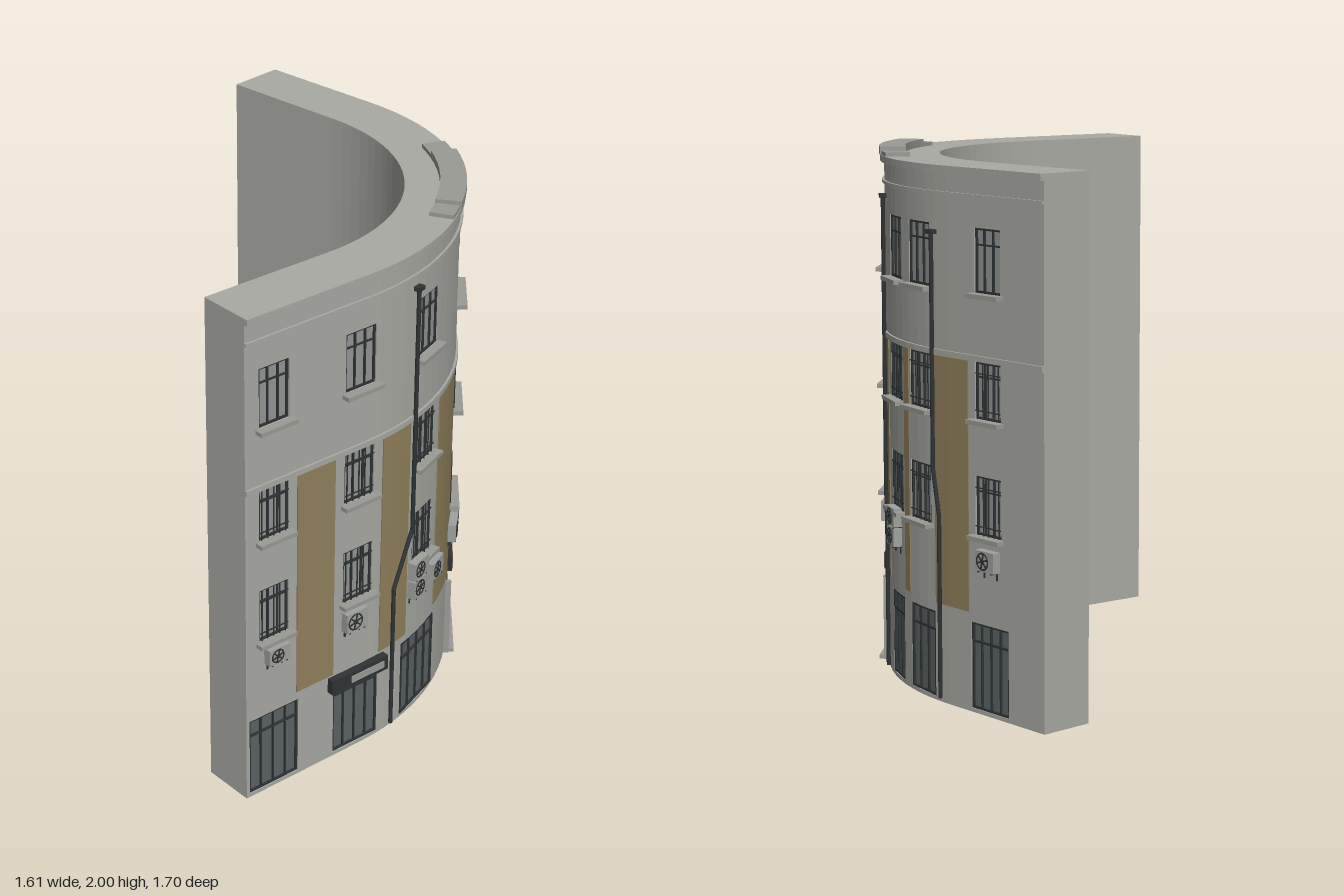
import * as THREE from 'three';

const mat = (name, color) => {
  const m = new THREE.MeshStandardMaterial({ color });
  m.name = name;
  return m;
};
const M = {
  wall: mat('grey render', 0xa9aaa3),
  trim: mat('pale trim', 0x9a9b95),
  ochre: mat('ochre panel', 0x91805c),
  frame: mat('dark frame', 0x303434),
  shopGlass: mat('shop glass', 0x5c6365),
  glass: mat('window glass', 0x929694),
  unit: mat('air unit grey', 0xa0a29d),
  sign: mat('brown sign', 0x8a745a),
};

// Plan of the facade: straight, arc, straight. u is the length along it, 0 where the arc starts.
const R = 1.02, CX = -0.25, CZ = -0.215, TURN = 1.6895, L = R * TURN;
const U0 = -0.55, U1 = L + 0.52, STEP = L / 26;
const zEnd = CZ + R * Math.cos(TURN);
const angle = u => THREE.MathUtils.clamp(u / R, 0, TURN);
function at(u, off = 0, y = 0) {
  const a = angle(u), extra = u - a * R, r = R + off;
  return new THREE.Vector3(
    CX + r * Math.sin(a) + extra * Math.cos(a), y,
    CZ + r * Math.cos(a) - extra * Math.sin(a));
}
const ux = x => (x < CX ? x - CX : R * Math.asin((x - CX) / R));
const uz = z => (z > zEnd ? R * Math.acos((z - CZ) / R) : L + (zEnd - z) / 0.993);

export function createModel() {
  const root = new THREE.Group();
  root.name = 'curvedBuilding';

  const add = (parent, name, geo, material, x = 0, y = 0, z = 0) => {
    const m = new THREE.Mesh(geo, material);
    m.name = name;
    m.position.set(x, y, z);
    parent.add(m);
    return m;
  };
  const box = (parent, name, material, w, h, d, x, y, z) =>
    add(parent, name, new THREE.BoxGeometry(w, h, d), material, x, y, z);

  // Group on the facade, its local z pointing outwards
  const station = (name, u, y) => {
    const g = new THREE.Group();
    g.name = name;
    g.position.copy(at(u, 0, y));
    g.rotation.y = angle(u);
    root.add(g);
    return g;
  };

  // Solid following the plan between two offsets and two heights
  function band(name, material, u0, u1, inner, outer, y0, y1) {
    const us = [u0];
    for (let i = 0; i <= 26; i++) {
      const u = i * STEP;
      if (u > u0 + 1e-4 && u < u1 - 1e-4) us.push(u);
    }
    us.push(u1);
    const pts = [...us.map(u => at(u, outer)), ...us.reverse().map(u => at(u, inner))];
    const shape = new THREE.Shape(pts.map(p => new THREE.Vector2(p.x, -p.z)));
    const geo = new THREE.ExtrudeGeometry(shape, { depth: y1 - y0, bevelEnabled: false });
    geo.rotateX(-Math.PI / 2);
    return add(root, name, geo, material, 0, y0, 0);
  }

  // Centre and width of the openings
  const windows = [
    [ux(-0.67), 0.135], [ux(-0.275), 0.14], [ux(0.1), 0.15], [0.845 * R, 0.215],
    [uz(0.065), 0.15], [uz(-0.155), 0.15], [uz(-0.555), 0.14],
  ];
  const doors = [
    [ux(-0.67), 0.23], [ux(-0.275), 0.22], [ux(0.095), 0.255], [0.85 * R, 0.28],
    [uz(0.07), 0.155], [uz(-0.165), 0.175], [uz(-0.56), 0.205],
  ];

  // Core wall and an outer skin that leaves the openings free
  band('coreWall', M.wall, U0, U1, -0.21, -0.02, 0, 1.97);
  const layers = [
    [0, 0.015], [0.015, 0.335, doors], [0.335, 0.66], [0.66, 0.875, windows], [0.875, 1.08],
    [1.08, 1.285, windows], [1.285, 1.53], [1.53, 1.76, windows], [1.76, 1.945],
  ];
  for (const [y0, y1, holes = []] of layers) {
    let u = U0;
    for (const [c, w] of holes) {
      band('facadePier', M.wall, u, c - w / 2, -0.02, 0, y0, y1);
      u = c + w / 2;
    }
    band('facadeWall', M.wall, u, U1, -0.02, 0, y0, y1);
  }

  // Cornice, string courses and roof crest
  band('topCornice', M.wall, U0, U1, -0.02, 0.015, 1.945, 1.97);
  band('upperMoulding', M.wall, U0, U1, -0.01, 0.009, 1.865, 1.877);
  band('stringCourse', M.wall, U0, U1, -0.01, 0.009, 1.287, 1.308);
  band('crestBase', M.trim, 0.53 * R, 1.206 * R, -0.08, 0.012, 1.97, 1.985);
  band('crestTop', M.trim, 0.62 * R, 1.095 * R, -0.08, 0.018, 1.97, 2.0);

  // Ochre panels between the window columns
  const panels = [
    [ux(-0.565), ux(-0.39)], [ux(-0.16), ux(-0.005)], [ux(0.215), ux(0.41)],
    [uz(0.33), uz(0.18)], [uz(-0.025), uz(-0.07)], [uz(-0.26), uz(-0.45)],
  ];
  for (const [a, b] of panels) band('ochrePanel', M.ochre, a, b, -0.003, 0.004, 0.37, 1.285);

  // Rectangular frame with vertical bars
  function framed(g, w, h, t, z, d, bars, barT) {
    for (const s of [-1, 1]) {
      box(g, 'frameSide', M.frame, t, h, d, s * (w - t) / 2, h / 2, z);
      box(g, 'frameRail', M.frame, w, t, d, 0, h / 2 + s * (h - t) / 2, z);
    }
    for (let i = 1; i <= bars; i++)
      box(g, 'mullion', M.frame, barT, h, d, -w / 2 + (w * i) / (bars + 1), h / 2, z);
  }

  // Windows, with security bars on the lower two floors
  for (const [y, h, barred] of [[0.66, 0.215, true], [1.08, 0.205, true], [1.53, 0.23, false]]) {
    for (const [u, w] of windows) {
      const g = station('window', u, y);
      box(g, 'windowGlass', M.glass, w, h, 0.008, 0, h / 2, -0.017);
      framed(g, w, h, 0.008, -0.012, 0.012, 2, 0.007);
      box(g, 'transom', M.frame, w, 0.006, 0.01, 0, h * 0.74, -0.012);
      box(g, 'windowSill', M.trim, w + 0.03, 0.016, 0.05, 0, -0.008, 0.008);
      if (!barred) continue;
      const n = w > 0.2 ? 7 : 5;
      for (let i = 0; i < n; i++)
        box(g, 'securityBar', M.frame, 0.004, h, 0.004, w * ((i + 0.5) / n - 0.5), h / 2, -0.002);
      for (const f of [0.15, 0.8])
        box(g, 'securityRail', M.frame, w, 0.004, 0.004, 0, h * f, -0.002);
    }
  }

  // Shop fronts
  for (const [u, w] of doors) {
    const g = station('shopFront', u, 0.015), h = 0.32;
    box(g, 'shopGlass', M.shopGlass, w, h, 0.008, 0, h / 2, -0.016);
    framed(g, w, h, 0.008, -0.01, 0.012, w > 0.19 ? 3 : 2, 0.006);
    box(g, 'shopTransom', M.frame, w, 0.008, 0.012, 0, 0.25, -0.01);
  }
  const entry = station('cornerEntrance', 0.85 * R, 0);
  box(entry, 'entranceStep', M.trim, 0.3, 0.015, 0.05, 0, 0.0075, 0.005);
  for (const s of [-1, 1]) {
    box(entry, 'entranceJamb', M.trim, 0.016, 0.335, 0.03, s * 0.15, 0.1675, -0.005);
    box(entry, 'doorHandle', M.frame, 0.006, 0.06, 0.01, s * 0.012, 0.14, 0);
  }

  // Plain sign boards
  const shopSign = station('shopSign', ux(-0.275), 0.33);
  box(shopSign, 'signBoard', M.frame, 0.275, 0.06, 0.03, 0, 0, 0.012);
  box(shopSign, 'signPlate', M.trim, 0.16, 0.028, 0.006, 0.035, 0, 0.028);
  const cornerSign = station('cornerSign', 0.85 * R, 0.382);
  box(cornerSign, 'signFrame', M.frame, 0.2, 0.068, 0.02, 0, 0, 0.004);
  box(cornerSign, 'signFace', M.sign, 0.19, 0.058, 0.006, 0, 0, 0.014);

  // Air conditioning units with fan and brackets
  const units = [
    [ux(-0.67), 0.595, 0.095, 0.065], [ux(-0.3), 0.585, 0.1, 0.08],
    [ux(0.05), 0.645, 0.1, 0.075], [ux(0.05), 0.565, 0.1, 0.075], [ux(0.18), 0.568, 0.1, 0.075],
    [uz(0.55), 0.57, 0.105, 0.075], [uz(0.455), 0.57, 0.105, 0.075],
    [uz(0.055), 0.635, 0.09, 0.07], [uz(0.055), 0.56, 0.09, 0.07], [uz(-0.57), 0.578, 0.1, 0.075],
  ];
  for (const [u, y, w, h] of units) {
    const g = station('airUnit', u, y), r = h * 0.4, fx = -w * 0.1;
    box(g, 'airUnitCase', M.unit, w, h, 0.032, 0, 0, 0.018);
    add(g, 'fanRing', new THREE.TorusGeometry(r, 0.003, 6, 20), M.frame, fx, 0, 0.034);
    add(g, 'fanHub', new THREE.CircleGeometry(r * 0.3, 12), M.frame, fx, 0, 0.0375);
    for (let i = 0; i < 3; i++)
      box(g, 'fanBlade', M.frame, r * 2, 0.006, 0.003, fx, 0, 0.035).rotation.z = (i * Math.PI) / 3 + 0.3;
    for (const s of [-1, 1]) {
      box(g, 'bracketArm', M.frame, 0.006, 0.005, 0.036, s * w * 0.35, -h / 2 - 0.0025, 0.016);
      box(g, 'bracketLeg', M.frame, 0.006, 0.03, 0.005, s * w * 0.35, -h / 2 - 0.015, 0.003);
    }
  }

  // Rain pipes with a hopper on top
  const up = new THREE.Vector3(0, 1, 0);
  const pipes = [
    [[ux(0.01), 1.82], [ux(0.01), 0.83], [ux(-0.095), 0.62], [ux(-0.095), 0.02]],
    [[uz(0.225), 1.82], [uz(0.225), 0.7], [uz(0.205), 0.56], [uz(0.205), 0.02]],
    [[uz(-0.26), 1.73], [uz(-0.26), 0.87], [uz(-0.295), 0.7], [uz(-0.295), 0.02]],
  ];
  for (const path of pipes) {
    const pts = path.map(([u, y]) => at(u, 0.012, y));
    for (let i = 0; i < 3; i++) {
      const dir = pts[i].clone().sub(pts[i + 1]), mid = pts[i].clone().add(pts[i + 1]).multiplyScalar(0.5);
      const m = add(root, 'rainPipe', new THREE.CylinderGeometry(0.008, 0.008, dir.length() + 0.004, 8), M.frame, mid.x, mid.y, mid.z);
      m.quaternion.setFromUnitVectors(up, dir.normalize());
    }
    const g = station('pipeHead', ...path[0]);
    box(g, 'hopper', M.frame, 0.036, 0.016, 0.026, 0, 0, 0.012);
  }
  return root;
}
